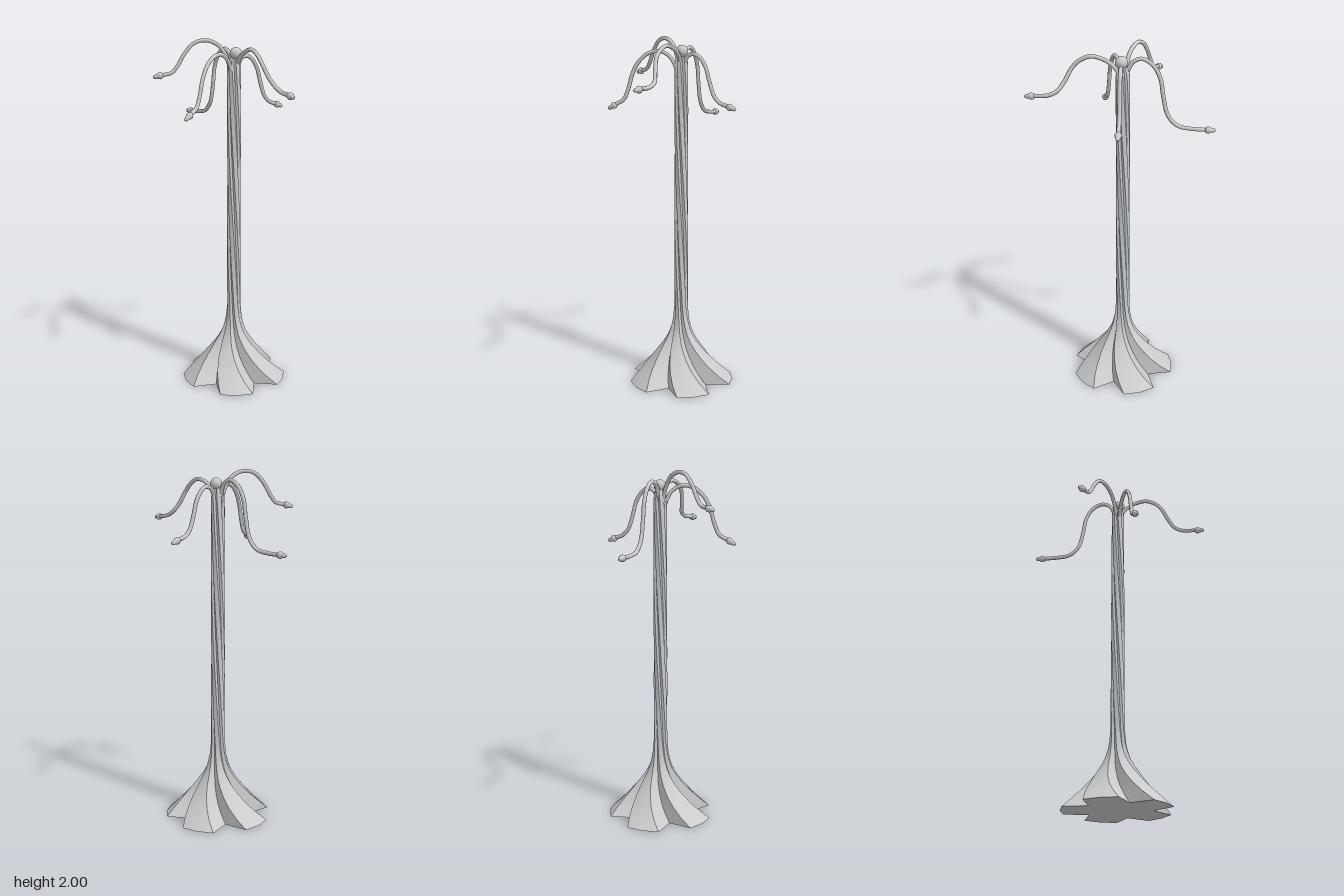
import * as THREE from 'three';
import { toCreasedNormals } from 'three/addons/utils/BufferGeometryUtils.js';

const material = new THREE.MeshStandardMaterial({ color: 0xcccccc });
const CX = -0.012, CZ = -0.036; // trunk axis

function addMesh(parent, name, geometry) {
  const mesh = new THREE.Mesh(geometry, material);
  mesh.name = name;
  parent.add(mesh);
  return mesh;
}

// Five-lobed section swept up the axis, flared at the foot and twisting as it rises
function twistedTrunk() {
  const rows = [[0, 0.307], [0.05, 0.255], [0.1, 0.206], [0.15, 0.162], [0.2, 0.122], [0.24, 0.094],
    [0.28, 0.072], [0.32, 0.058], [0.37, 0.047], [0.45, 0.04]];
  for (let i = 1; i <= 16; i++) rows.push([0.45 + i * 0.0875, 0.04 - i * 0.0001]);
  rows.push([1.89, 0.03], [1.91, 0.005]);
  const section = [];
  for (let k = 0; k < 5; k++) {
    for (const [deg, r] of [[-18, 1], [0, 1], [18, 1], [36, 0.62]]) section.push([40 + 72 * k + deg, r]);
  }
  const n = section.length, positions = [], index = [];
  for (const [y, radius] of rows) {
    const twist = 130 * Math.min(y, 0.4) + 90 * Math.max(y - 0.4, 0);
    // notches grow shallower on the shaft
    const fill = THREE.MathUtils.smoothstep(y, 0.1, 0.45) * 0.12;
    for (const [deg, r] of section) {
      const a = THREE.MathUtils.degToRad(deg - twist);
      const d = radius * (r < 1 ? r + fill : r);
      positions.push(CX + d * Math.cos(a), y, CZ - d * Math.sin(a));
    }
  }
  for (let i = 0; i < rows.length - 1; i++) {
    for (let j = 0; j < n; j++) {
      const a = i * n + j, b = i * n + (j + 1) % n;
      index.push(a, b, b + n, a, b + n, a + n);
    }
  }
  // flat underside and top
  const bottom = positions.length / 3, top = (rows.length - 1) * n;
  positions.push(CX, 0, CZ, CX, 1.91, CZ);
  for (let j = 0; j < n; j++) {
    const k = (j + 1) % n;
    index.push(bottom, k, j, bottom + 1, top + j, top + k);
  }
  const geometry = new THREE.BufferGeometry();
  geometry.setAttribute('position', new THREE.Float32BufferAttribute(positions, 3));
  geometry.setIndex(index);
  return toCreasedNormals(geometry, 0.75);
}

// Points on a straight plan line from the trunk to an end point: [distance share, height]
function planLine(x0, z0, x1, z1, heights) {
  return heights.map(([t, y]) => [x0 + (x1 - x0) * t, y, z0 + (z1 - z0) * t]);
}

// Curved stem with a pointed bud at its end
function addTendril(parent, name, points) {
  const group = new THREE.Group();
  group.name = name;
  const curve = new THREE.CatmullRomCurve3(points.map(p => new THREE.Vector3(...p)));
  addMesh(group, 'stem', new THREE.TubeGeometry(curve, 48, 0.0115, 8));
  const profile = [[0, -0.003], [0.014, 0], [0.0195, 0.01], [0.019, 0.02], [0.014, 0.029],
    [0.0125, 0.036], [0.011, 0.046], [0.006, 0.054], [0, 0.056]];
  const bud = addMesh(group, 'bud',
    new THREE.LatheGeometry(profile.map(p => new THREE.Vector2(...p)), 12));
  bud.position.copy(curve.getPoint(1));
  bud.quaternion.setFromUnitVectors(new THREE.Vector3(0, 1, 0), curve.getTangent(1));
  parent.add(group);
}

export function createModel() {
  const model = new THREE.Group();
  model.name = 'tendrilPost';
  addMesh(model, 'trunk', twistedTrunk());

  const knob = addMesh(model, 'knob', new THREE.SphereGeometry(0.034, 20, 14));
  knob.position.set(-0.004, 1.922, -0.042);

  addTendril(model, 'leftTendril', [
    [0.005, 1.78, -0.042], [0.015, 1.87, -0.042], [0.05, 1.913, -0.042], [0.1, 1.94, -0.037],
    [0.16, 1.95, -0.03], [0.22, 1.925, -0.023], [0.26, 1.885, -0.022], [0.3, 1.815, -0.037],
    [0.34, 1.765, -0.054], [0.39, 1.742, -0.055], [0.465, 1.734, -0.042]]);

  addTendril(model, 'rightTendril', [
    [-0.028, 1.78, -0.036], [-0.036, 1.87, -0.037], [-0.065, 1.925, -0.038], [-0.11, 1.943, -0.04],
    [-0.17, 1.91, -0.04], [-0.21, 1.84, -0.04], [-0.228, 1.74, -0.04], [-0.255, 1.635, -0.04],
    [-0.31, 1.577, -0.04], [-0.39, 1.561, -0.04], [-0.46, 1.557, -0.04]]);

  addTendril(model, 'frontRightTendril', planLine(-0.015, -0.025, -0.195, 0.315, [
    [0, 1.78], [0.06, 1.88], [0.18, 1.96], [0.36, 1.993], [0.54, 1.98], [0.68, 1.925],
    [0.79, 1.855], [0.87, 1.82], [1, 1.808]]));

  addTendril(model, 'frontLeftTendril', planLine(-0.005, -0.025, 0.102, 0.322, [
    [0, 1.76], [0.06, 1.84], [0.15, 1.893], [0.3, 1.922], [0.48, 1.91], [0.63, 1.865],
    [0.73, 1.8], [0.8, 1.715], [0.88, 1.652], [1, 1.626]]));

  addTendril(model, 'backTendril', planLine(-0.004, -0.045, -0.001, -0.32, [
    [0, 1.76], [0.04, 1.85], [0.12, 1.893], [0.24, 1.907], [0.38, 1.89], [0.52, 1.835],
    [0.61, 1.755], [0.71, 1.68], [0.84, 1.643], [1, 1.627]]));

  return model;
}
